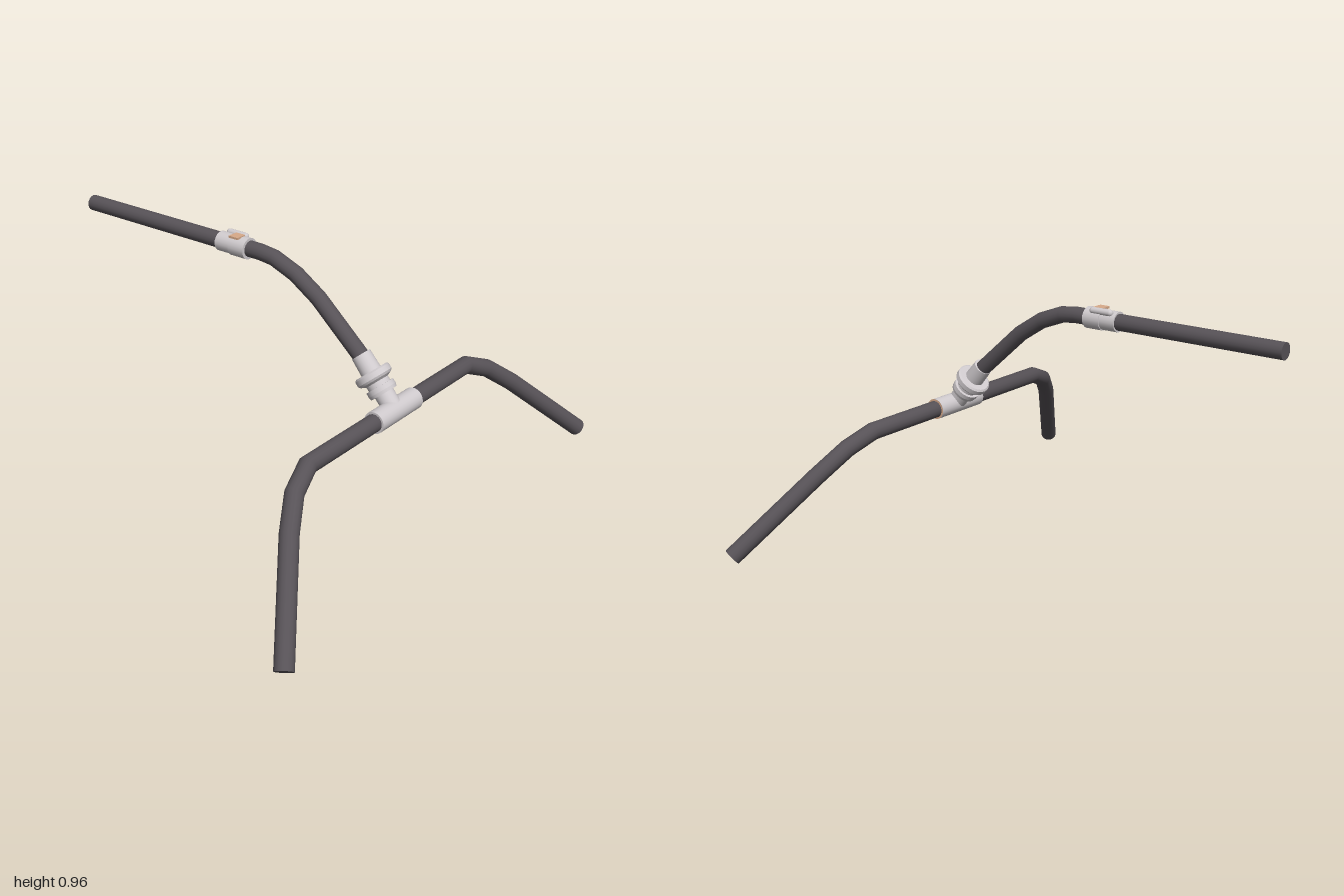
import * as THREE from 'three';

const mat = (name, color) => {
  const m = new THREE.MeshStandardMaterial({ color });
  m.name = name;
  return m;
};
const V = (x, y, z) => new THREE.Vector3(x, y, z);

// Polyline path: one tube ring per point, mitred at the bends
class BentPath extends THREE.Curve {
  constructor(points) { super(); this.points = points; }
  getPointAt(u) {
    return this.points[Math.round(u * (this.points.length - 1))].clone();
  }
  getTangentAt(u) {
    const p = this.points, i = Math.round(u * (p.length - 1));
    const t = V(0, 0, 0);
    if (i > 0) t.add(p[i].clone().sub(p[i - 1]).normalize());
    if (i < p.length - 1) t.add(p[i + 1].clone().sub(p[i]).normalize());
    return t.normalize();
  }
}

export function createModel() {
  const model = new THREE.Group();
  const dark = mat('dark tube', 0x575257);
  const grey = mat('light grey fitting', 0xd0cbce);
  const tan = mat('tan accent', 0xd8aa8a);

  const add = (name, geometry, material, parent = model) => {
    const mesh = new THREE.Mesh(geometry, material);
    mesh.name = name;
    parent.add(mesh);
    return mesh;
  };

  // Bent tube with a flat cap on each end
  const bentTube = (name, points, radius) => {
    const group = new THREE.Group();
    group.name = name;
    model.add(group);
    const path = new BentPath(points);
    add(name + 'Wall', new THREE.TubeGeometry(path, points.length - 1, radius, 16), dark, group);
    for (const u of [0, 1]) {
      const cap = add(name + 'Cap', new THREE.CircleGeometry(radius, 16), dark, group);
      const outward = path.getTangentAt(u).multiplyScalar(u ? 1 : -1);
      cap.position.copy(path.getPointAt(u));
      cap.quaternion.setFromUnitVectors(V(0, 0, 1), outward);
    }
  };

  // Crossbar with two drooping arms
  bentTube('crossbar', [
    V(-0.968, 0.035, 0.853), V(-0.725, 0.346, 0.678), V(-0.63, 0.43, 0.623),
    V(-0.52, 0.475, 0.592), V(0.455, 0.475, 0.592), V(0.565, 0.43, 0.62),
    V(0.68, 0.343, 0.668), V(0.97, 0.073, 0.832)
  ], 0.034);

  // Stem rising from the coupling and running straight back
  bentTube('stem', [
    V(-0.02, 0.59, 0.5), V(-0.02, 0.642, 0.443), V(-0.02, 0.814, 0.248),
    V(-0.02, 0.88, 0.145), V(-0.02, 0.918, 0.045), V(-0.02, 0.925, -0.02),
    V(-0.02, 0.925, -0.89)
  ], 0.031);

  // Tee sleeve on the crossbar
  const tee = add('teeSleeve', new THREE.CylinderGeometry(0.041, 0.041, 0.246, 24), grey);
  tee.rotation.z = Math.PI / 2;
  tee.position.set(-0.021, 0.475, 0.592);
  const teeRing = add('teeEndRing', new THREE.RingGeometry(0.033, 0.041, 24), tan);
  teeRing.rotation.y = Math.PI / 2;
  teeRing.position.set(0.1035, 0.475, 0.592);

  // Stepped coupling between the tee and the stem
  const profile = [
    [0.037, 0], [0.037, 0.07], [0.052, 0.07], [0.055, 0.082], [0.055, 0.1],
    [0.044, 0.1], [0.044, 0.118], [0.062, 0.126], [0.069, 0.134], [0.069, 0.154],
    [0.062, 0.16], [0.039, 0.16], [0.037, 0.23], [0.029, 0.23]
  ].map(([r, h]) => new THREE.Vector2(r, h));
  const steps = [];
  // Doubled points keep each step crisp
  profile.forEach((p, i) => {
    if (i) steps.push([profile[i - 1], p]);
  });
  const coupling = new THREE.Group();
  coupling.name = 'coupling';
  coupling.position.set(-0.02, 0.475, 0.592);
  coupling.quaternion.setFromUnitVectors(V(0, 1, 0), V(0, 0.755, -0.655).normalize());
  model.add(coupling);
  steps.forEach((s) => add('couplingStep', new THREE.LatheGeometry(s, 24), grey, coupling));

  // Split clamp on the stem
  [[0.041, 0.072, -0.108], [0.038, 0.066, -0.177]].forEach(([r, length, z]) => {
    const half = add('clampCollar', new THREE.CylinderGeometry(r, r, length, 20), grey);
    half.rotation.x = Math.PI / 2;
    half.position.set(-0.022, 0.925, z);
  });

  // Rounded lever on the clamp, with its tan pad
  const lever = add('clampLever', new THREE.CapsuleGeometry(0.013, 0.075, 6, 12), grey);
  lever.rotation.x = Math.PI / 2;
  lever.position.set(0.0, 0.959, -0.146);
  const pad = add('clampPad', new THREE.BoxGeometry(0.044, 0.008, 0.042), tan);
  pad.position.set(-0.033, 0.965, -0.123);

  return model;
}
